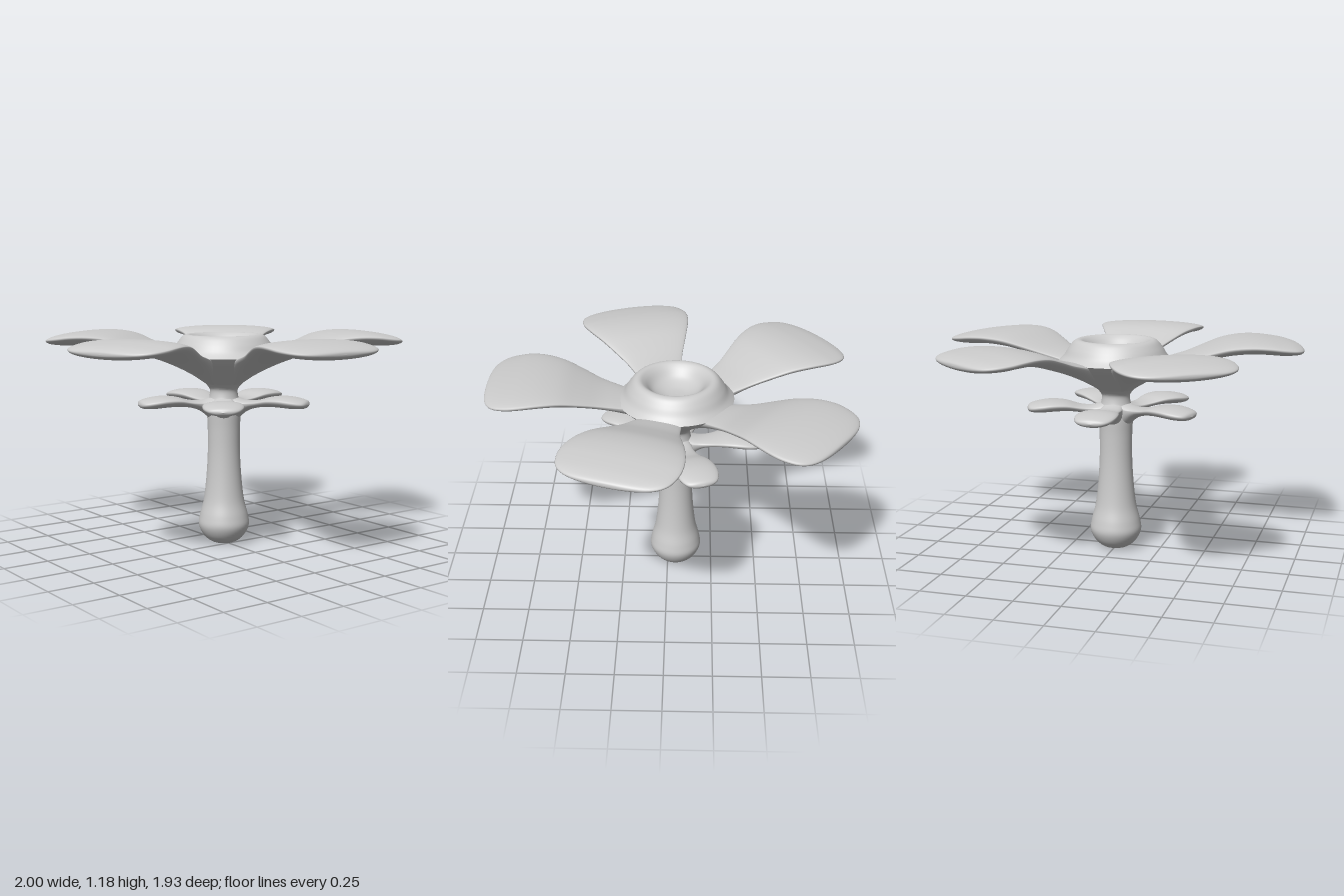
import * as THREE from 'three';

const material = new THREE.MeshStandardMaterial({ color: 0xcccccc, side: THREE.DoubleSide });

// Smooth blade running along +z. Rows: [distance, half width, top, bottom]
function bladeGeometry(rows, steps = 48, sides = 40) {
  const outline = new THREE.CatmullRomCurve3(rows.map(([r, w]) => new THREE.Vector3(r, w, 0)), false, 'catmullrom', 0.5);
  const heights = new THREE.CatmullRomCurve3(rows.map(([, , t, b]) => new THREE.Vector3(t, b, 0)), false, 'catmullrom', 0.5);
  const positions = [];
  const index = [];
  for (let i = 0; i <= steps; i++) {
    const { x: r, y: w } = outline.getPoint(i / steps);
    const { x: top, y: bottom } = heights.getPoint(i / steps);
    // The rim sits near the top at the root, so the underside forms a keel there
    const rim = THREE.MathUtils.lerp(top, bottom, 0.2 + 0.3 * (i / steps));
    for (let j = 0; j < sides; j++) {
      const a = (j / sides) * Math.PI * 2;
      const s = Math.sin(a);
      positions.push(Math.max(w, 0) * Math.cos(a), rim + (s > 0 ? (top - rim) * s : (rim - bottom) * s), r);
      if (i < steps) {
        const k = i * sides + j;
        const n = i * sides + ((j + 1) % sides);
        index.push(k, n, k + sides, n, n + sides, k + sides);
      }
    }
  }
  const geometry = new THREE.BufferGeometry();
  geometry.setAttribute('position', new THREE.Float32BufferAttribute(positions, 3));
  geometry.setIndex(index);
  geometry.computeVertexNormals();
  return geometry;
}

function turned(name, points, steps) {
  const curve = new THREE.SplineCurve(points.map(([r, y]) => new THREE.Vector2(r, y)));
  const profile = curve.getPoints(steps);
  profile.forEach((p) => { p.x = Math.max(p.x, 0); });
  const mesh = new THREE.Mesh(new THREE.LatheGeometry(profile, 60), material);
  mesh.name = name;
  return mesh;
}

// Five copies of a blade around the stem
function whorl(name, geometry, startAngle) {
  const group = new THREE.Group();
  group.name = name + 's';
  for (let i = 0; i < 5; i++) {
    const mesh = new THREE.Mesh(geometry, material);
    mesh.name = name;
    mesh.rotation.y = startAngle + (i * Math.PI * 2) / 5;
    group.add(mesh);
  }
  return group;
}

export function createModel() {
  const flower = new THREE.Group();
  flower.name = 'flower';

  // Stem with a bulb at its foot and a slim neck above the sepals
  flower.add(turned('stem', [
    [0, 0], [0.06, 0.005], [0.11, 0.04], [0.141, 0.1], [0.135, 0.16], [0.113, 0.25], [0.098, 0.38],
    [0.09, 0.52], [0.09, 0.65], [0.094, 0.74], [0.092, 0.79], [0.08, 0.83], [0.078, 0.87], [0.1, 0.9],
  ], 70));

  // Funnel under the petals, and the dished heart with its rounded rim
  flower.add(turned('funnel', [[0.08, 0.875], [0.1, 0.9], [0.15, 0.935], [0.22, 0.985], [0.28, 1.03], [0.31, 1.06]], 24));
  flower.add(turned('heart', [
    [0.31, 1.06], [0.28, 1.09], [0.255, 1.13], [0.225, 1.165], [0.195, 1.173],
    [0.165, 1.155], [0.12, 1.11], [0.06, 1.085], [0, 1.08],
  ], 48));

  // Petals
  flower.add(whorl('petal', bladeGeometry([
    [0.1, 0.05, 1.0, 0.9], [0.2, 0.1, 1.05, 0.955], [0.3, 0.13, 1.075, 1.0], [0.4, 0.158, 1.1, 1.035],
    [0.5, 0.203, 1.135, 1.065], [0.6, 0.249, 1.168, 1.088], [0.7, 0.288, 1.182, 1.1], [0.79, 0.308, 1.182, 1.1],
    [0.86, 0.306, 1.175, 1.095], [0.925, 0.285, 1.165, 1.095], [0.965, 0.245, 1.155, 1.098],
    [0.99, 0.185, 1.146, 1.105], [1.002, 0.1, 1.137, 1.114], [1.005, 0, 1.125, 1.125],
  ]), 0));

  // Sepals, set between the petals
  flower.add(whorl('sepal', bladeGeometry([
    [0.04, 0.06, 0.84, 0.66], [0.09, 0.062, 0.822, 0.715], [0.14, 0.06, 0.812, 0.755], [0.2, 0.07, 0.816, 0.775],
    [0.27, 0.095, 0.835, 0.782], [0.34, 0.109, 0.842, 0.78], [0.4, 0.108, 0.838, 0.776], [0.45, 0.09, 0.828, 0.777],
    [0.475, 0.06, 0.818, 0.784], [0.485, 0, 0.8, 0.8],
  ], 36, 28), Math.PI / 5));

  flower.position.z = -0.045;
  const model = new THREE.Group();
  model.add(flower);
  return model;
}
